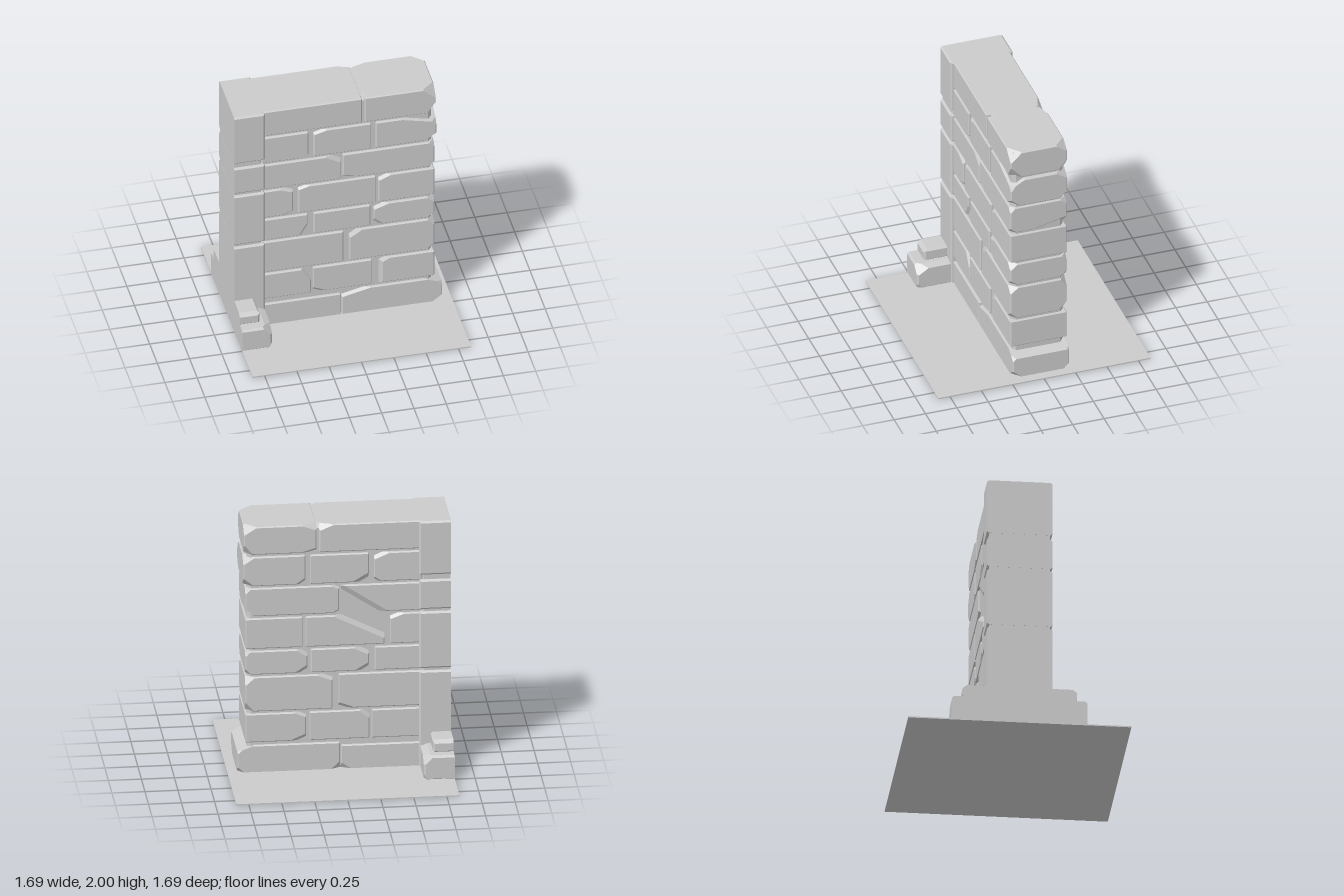
import * as THREE from 'three';
import { ConvexGeometry } from 'three/addons/geometries/ConvexGeometry.js';

const stone = new THREE.MeshStandardMaterial({ color: 0xcccccc, flatShading: true });

// Stone block: a box cut by bevel planes on its edges and by chip planes.
// A chip is [sx, sy, sz, a, b, c]: the corner (or edge, where a sign is 0) and the cut length per axis.
function blockGeometry(min, max, chips = [], bevel = 0.008, flatLeft = false) {
  const planes = [];
  const cut = (signs, lengths) => {
    const n = new THREE.Vector3(), corner = new THREE.Vector3();
    signs.forEach((s, i) => {
      n.setComponent(i, s ? s / lengths[i] : 0);
      corner.setComponent(i, s > 0 ? max[i] : min[i]);
    });
    const d = n.dot(corner) - 1, len = n.length();
    planes.push({ n: n.divideScalar(len), d: d / len });
  };
  for (let i = 0; i < 3; i++) {
    for (const s of [-1, 1]) {
      const n = new THREE.Vector3().setComponent(i, s);
      planes.push({ n, d: s > 0 ? max[i] : -min[i] });
      for (const t of [-1, 1]) {
        const signs = [0, 0, 0];
        signs[i] = s;
        signs[(i + 1) % 3] = t;
        if (!(flatLeft && signs[0] < 0)) cut(signs, [bevel, bevel, bevel]);
      }
    }
  }
  for (const c of chips) cut(c.slice(0, 3), c.slice(3));

  // Corners are the triple plane intersections that lie inside every plane.
  const points = new Map(), cross = new THREE.Vector3();
  for (let i = 0; i < planes.length; i++) {
    for (let j = i + 1; j < planes.length; j++) {
      for (let k = j + 1; k < planes.length; k++) {
        const [p, q, r] = [planes[i], planes[j], planes[k]];
        const det = p.n.dot(cross.crossVectors(q.n, r.n));
        if (Math.abs(det) < 1e-5) continue;
        const v = cross.clone().multiplyScalar(p.d)
          .addScaledVector(new THREE.Vector3().crossVectors(r.n, p.n), q.d)
          .addScaledVector(new THREE.Vector3().crossVectors(p.n, q.n), r.d)
          .divideScalar(det);
        if (planes.every((o) => o.n.dot(v) < o.d + 1e-6)) {
          points.set(v.toArray().map((x) => Math.round(x * 2000)).join(), v);
        }
      }
    }
  }
  return new ConvexGeometry([...points.values()]);
}

// Seeded numbers from 0 to 1
function seeded(seed) {
  return () => {
    seed = (seed * 16807) % 2147483647;
    return seed / 2147483647;
  };
}

// Wall courses: bottom, top, right end, wear of the end brick, then the joints as [left, right]
const courses = [
  { y0: 0, y1: 0.2, end: 0.77, wear: 0.8, joints: [[-0.015, -0.008]] },
  { y0: 0.25, y1: 0.48, end: 0.71, wear: 0, joints: [[-0.245, -0.23], [0.225, 0.25]] },
  { y0: 0.5, y1: 0.78, end: 0.71, wear: 0.8, joints: [[0.005, 0.05]] },
  { y0: 0.8, y1: 0.99, end: 0.71, wear: 0.6, joints: [[-0.27, -0.225], [0.215, 0.24]] },
  { y0: 1.01, y1: 1.255, end: 0.71, wear: 0, joints: [[-0.385, -0.345], [0.255, 0.275]] },
  { y0: 1.275, y1: 1.5, end: 0.71, wear: 0.5, joints: [[-0.015, 0]] },
  { y0: 1.52, y1: 1.755, end: 0.725, wear: 1, joints: [[-0.265, -0.225], [0.22, 0.255]] },
  { y0: 1.775, y1: 2, end: 0.72, wear: 1, joints: [[0.15, 0.17]] },
];

// Large breaks, keyed by course and brick
const breaks = {
  '0,1': [[-1, 1, 1, 0.25, 0.06, 0.06], [1, 1, 0, 0.13, 0.05, 0]],
  '1,0': [[1, 1, 1, 0.08, 0.12, 0.08]],
  '1,2': [[-1, 0, 1, 0.06, 0, 0.04]],
  '3,0': [[1, -1, 1, 0.07, 0.12, 0.06]],
  '4,1': [[-1, 1, -1, 0.4, 0.2, 0.1]],
  '5,0': [[1, -1, -1, 0.36, 0.24, 0.1]],
  '5,1': [[1, -1, -1, 0.07, 0.07, 0.3]],
  '6,2': [[1, 1, 1, 0.3, 0.07, 0.12]],
};

export function createModel() {
  const model = new THREE.Group();
  const random = seeded(71);
  const add = (name, geometry, parent = model) => {
    const mesh = new THREE.Mesh(geometry, stone);
    mesh.name = name;
    parent.add(mesh);
    return mesh;
  };

  // Thin ground slab
  add('floorSlab', new THREE.BoxGeometry(1.69, 0.01, 1.69)).position.y = 0.005;

  // Recessed mortar behind the bricks and the pillar blocks
  add('wallMortar', blockGeometry([-0.66, 0, -0.205], [0.695, 1.998, 0.205], [], 0.03));
  add('pillarMortar', blockGeometry([-0.844, 0, -0.23], [-0.63, 1.995, 0.23], [], 0.01, true));

  // Brick courses, running through the full wall thickness
  const wall = new THREE.Group();
  wall.name = 'brickWall';
  model.add(wall);
  courses.forEach(({ y0, y1, end, wear, joints }, row) => {
    const edges = [-0.63, ...joints.flat(), end];
    for (let i = 0; i <= joints.length; i++) {
      const isEnd = i === joints.length;
      const chips = [...(breaks[[row, i]] ?? [])];
      for (const sy of [-1, 1]) {
        for (const sz of [-1, 1]) {
          // Rounded corners on the free end of the wall
          if (isEnd && wear) {
            const size = () => wear * (0.06 + 0.05 * random());
            chips.push([1, sy, sz, size(), size(), size()]);
          }
          // Scattered small chips beside the joints
          const side = i === 0 ? 1 : -1;
          if (random() < 0.4) {
            chips.push([side, sy, sz, 0.06 + 0.08 * random(), 0.03 + 0.05 * random(), 0.04]);
          }
        }
      }
      const top = row === 0 && isEnd ? 0.225 : y1;
      add('wallBrick', blockGeometry([edges[2 * i], y0, -0.225], [edges[2 * i + 1], top, 0.225], chips), wall);
    }
  });

  // Pillar blocks separated by grooves
  const pillar = new THREE.Group();
  pillar.name = 'endPillar';
  model.add(pillar);
  for (const [y0, y1] of [[0, 0.785], [0.805, 1.265], [1.285, 1.525], [1.565, 2]]) {
    add('pillarBlock', blockGeometry([-0.845, y0, -0.248], [-0.605, y1, 0.248], [], 0.014, true), pillar);
  }

  // Stepped buttress stones at both faces of the pillar
  for (const s of [-1, 1]) {
    const step = (name, x1, y0, y1, depth, chips) => {
      const z = [s * 0.23, s * depth].sort((a, b) => a - b);
      add(name, blockGeometry([-0.845, y0, z[0]], [x1, y1, z[1]], chips, 0.015, true));
    };
    step('lowerButtressStone', -0.612, 0, 0.197, 0.512,
      [[1, 1, s, 0.08, 0.08, 0.12], [1, -1, s, 0.03, 0.07, 0.05], [1, 1, 0, 0.05, 0.02, 0]]);
    step('upperButtressStone', -0.69, 0.19, 0.29, 0.432, [[0, 1, s, 0, 0.025, 0.03]]);
  }
  return model;
}
